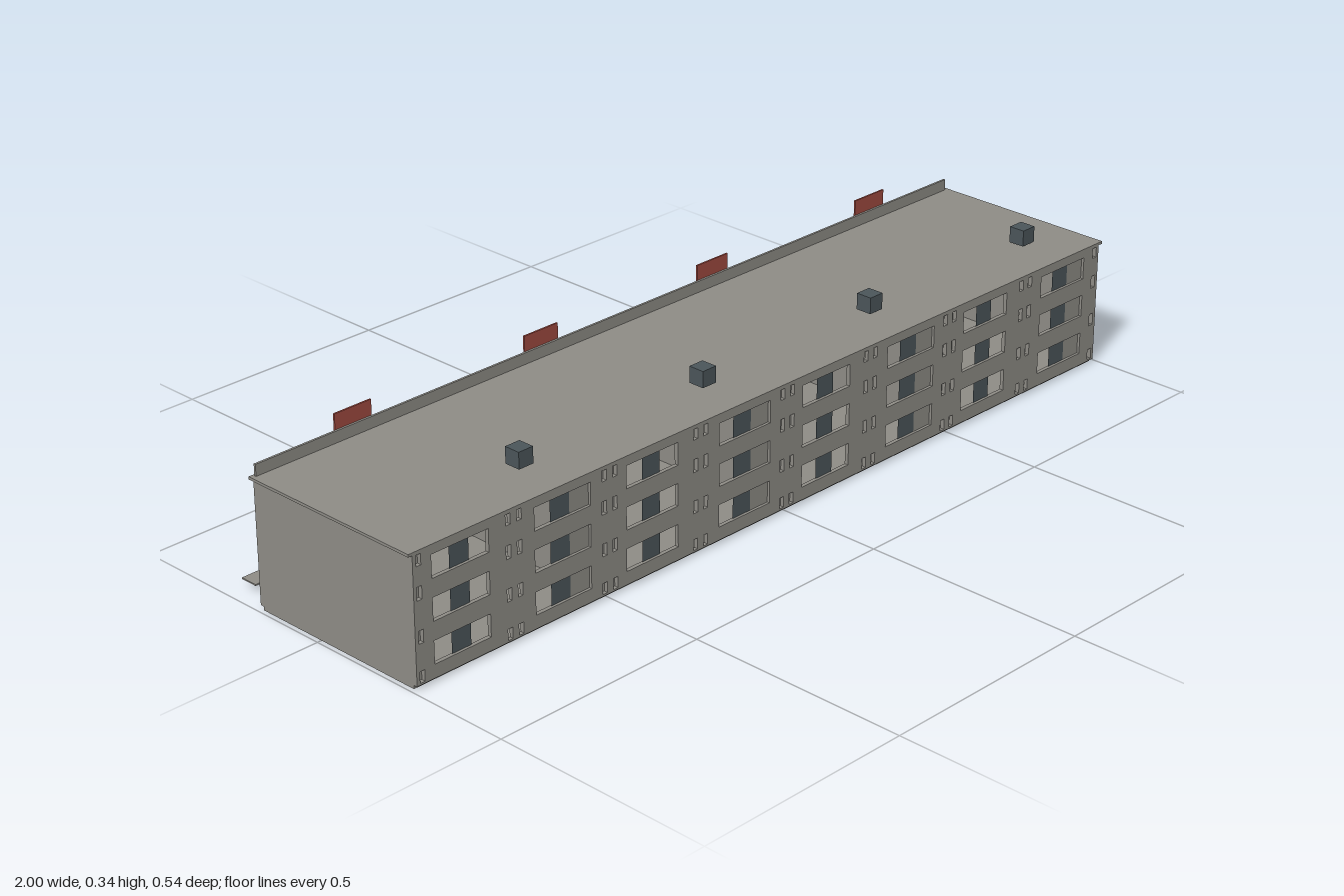
import * as THREE from 'three';

export function createModel() {
  const mat = (name, color, side = THREE.FrontSide) => {
    const m = new THREE.MeshStandardMaterial({ side });
    m.color.set(color);
    m.name = name;
    return m;
  };
  const concrete = mat('concrete', 0x8e8c86);
  const slate = mat('darkSlate', 0x4b555a);
  const red = mat('signRed', 0xa04a40);

  const model = new THREE.Group();
  model.name = 'apartmentBlock';

  // Box given by its limits on each axis
  const box = (name, m, [x0, x1], [y0, y1], [z0, z1], parent = model) => {
    const mesh = new THREE.Mesh(new THREE.BoxGeometry(x1 - x0, y1 - y0, z1 - z0), m);
    mesh.position.set((x0 + x1) / 2, (y0 + y1) / 2, (z0 + z1) / 2);
    mesh.name = name;
    parent.add(mesh);
    return mesh;
  };

  const UNIT = 0.495;
  const units = [-1.5, -0.5, 0.5, 1.5].map((i) => i * UNIT);
  const floors = [0.037, 0.126, 0.214]; // window sills
  const WIN_H = 0.049;
  const Y0 = 0.008, Y1 = 0.279;

  // Facade panel of one stair section, with window openings and narrow slots
  const rect = (target, x0, x1, y0, y1) => {
    target.moveTo(x0, y0);
    target.lineTo(x1, y0);
    target.lineTo(x1, y1);
    target.lineTo(x0, y1);
    target.closePath();
    return target;
  };
  const panel = rect(new THREE.Shape(), -UNIT / 2, UNIT / 2, Y0, Y1);
  const hole = (...r) => panel.holes.push(rect(new THREE.Path(), ...r));
  for (const y of floors) {
    hole(-0.2025, -0.0625, y, y + WIN_H);
    hole(0.0525, 0.1975, y, y + WIN_H);
  }
  for (const [y0, y1] of [[0.012, 0.036], [0.093, 0.12], [0.182, 0.21], [0.252, 0.275]]) {
    for (const s of [-1, 1]) {
      hole(...[s * 0.008, s * 0.02].sort((a, b) => a - b), y0, y1);
      hole(...[s * 0.2275, s * 0.2395].sort((a, b) => a - b), y0, y1);
    }
  }
  const panelGeo = new THREE.ExtrudeGeometry(panel, { depth: 0.009, bevelEnabled: false });

  // Outward-facing sheet set in a window opening
  const sheet = (name, m, x0, x1, y, parent) => {
    const mesh = new THREE.Mesh(new THREE.PlaneGeometry(x1 - x0, WIN_H), m);
    mesh.position.set((x0 + x1) / 2, y + WIN_H / 2, 0.003);
    mesh.name = name;
    parent.add(mesh);
  };

  const buildFacade = (name) => {
    const facade = new THREE.Group();
    facade.name = name;
    for (const x of units) {
      const wall = new THREE.Mesh(panelGeo, concrete);
      wall.name = 'facadePanel';
      wall.position.x = x;
      facade.add(wall);
      for (const y of floors) {
        sheet('windowPane', slate, x - 0.155, x - 0.107, y, facade);
        sheet('windowPane', slate, x + 0.0975, x + 0.1475, y, facade);
        sheet('windowInfill', concrete, x + 0.1475, x + 0.1975, y, facade);
      }
    }
    model.add(facade);
    return facade;
  };
  buildFacade('frontFacade').position.z = 0.258;
  const back = buildFacade('backFacade');
  back.rotation.y = Math.PI;
  back.position.z = -0.167;

  // Hollow body: base, roof, end walls and party walls
  const depth = [-0.167, 0.258];
  for (const x of units) box('base', concrete, [x - UNIT / 2, x + UNIT / 2], [0, Y0], depth);
  box('roof', concrete, [-1, 1], [0.278, 0.284], [-0.177, 0.268]);
  for (const s of [-1, 1]) {
    box('endWall', concrete, [s * 0.978 - 0.012, s * 0.978 + 0.012], [Y0, 0.278], depth);
  }
  for (const x of [-UNIT, 0, UNIT]) {
    box('partyWall', concrete, [x - 0.024, x + 0.024], [Y0, 0.278], depth);
  }
  box('backParapet', concrete, [-0.99, 0.99], [0.284, 0.309], [-0.172, -0.167]);

  // Entrances, signs and roof vents, one set per section
  for (const x of units) {
    const c = x - 0.002;
    box('porch', concrete, [c - 0.042, c + 0.042], [Y0, 0.09], [-0.227, -0.175]);
    box('porchCanopy', concrete, [c - 0.046, c + 0.046], [0.095, 0.101], [-0.24, -0.175]);
    box('entranceSign', red, [c - 0.03, c + 0.03], [0.113, 0.127], [-0.179, -0.176]);
    box('roofSign', red, [c - 0.046, c + 0.046], [0.3, 0.342], [-0.177, -0.173]);
    box('roofVent', slate, [x + 0.104, x + 0.141], [0.29, 0.326], [0.136, 0.173]);
  }

  // Pavement along the entrances
  box('pavement', concrete, [-0.96, 0.957], [0.018, 0.021], [-0.268, -0.227]);

  return model;
}
